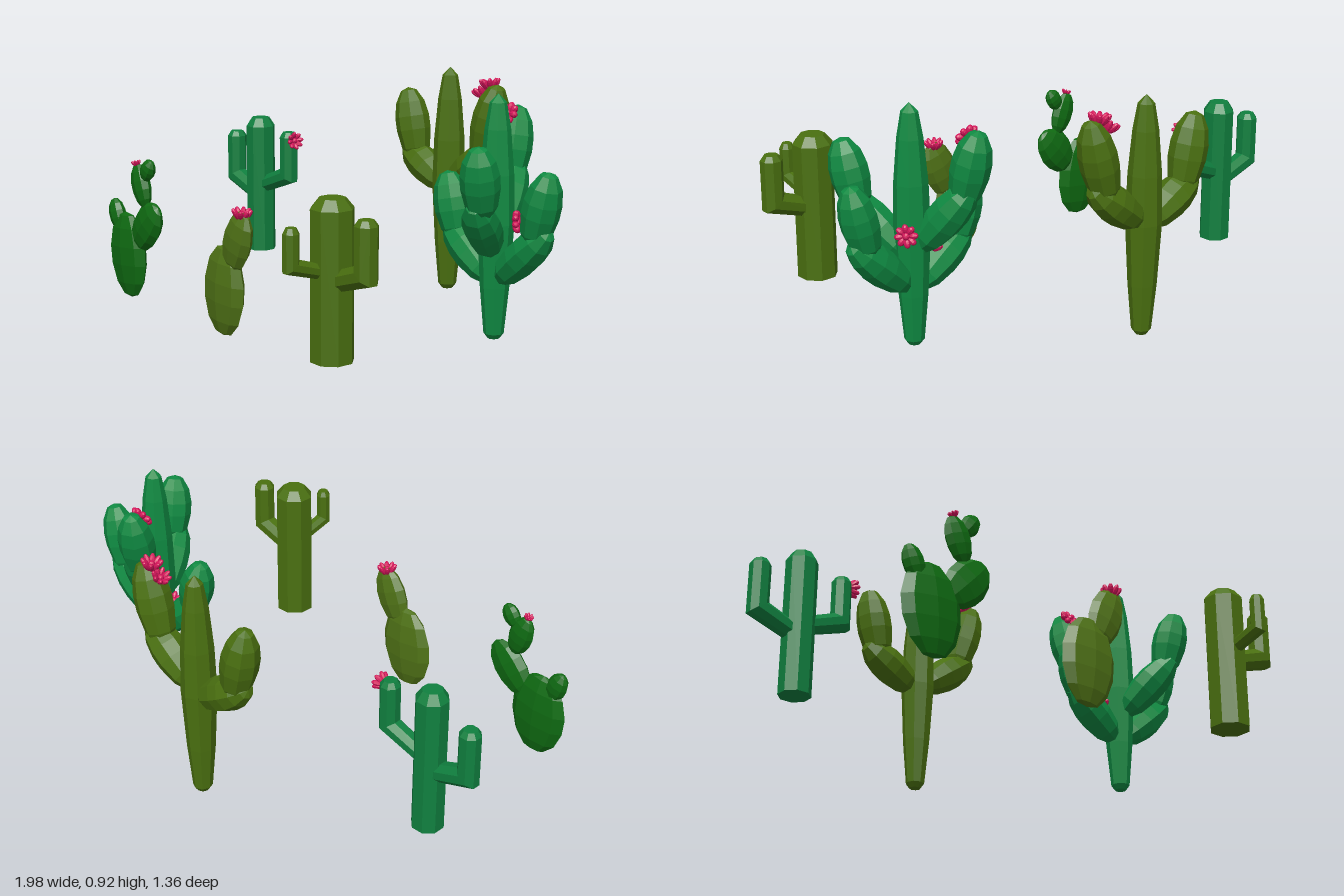
import * as THREE from 'three';

const V = (x, y, z) => new THREE.Vector3(x, y, z);
const UP = V(0, 1, 0);
const mat = (color, side = THREE.FrontSide) => new THREE.MeshStandardMaterial({ color, flatShading: true, side });
const GREEN = mat(0x0f8a42), JADE = mat(0x10803f), OLIVE = mat(0x4a7010), MOSS = mat(0x4f7216);
const DARK = mat(0x0f6b12), PINK = mat(0xd3145a);

function add(group, name, geometry, material) {
  const mesh = new THREE.Mesh(geometry, material);
  mesh.name = name;
  group.add(mesh);
  return mesh;
}

function cactus(root, name) {
  const g = new THREE.Group();
  g.name = name;
  root.add(g);
  return g;
}

const lathe = (points, sides, phase = 0) =>
  new THREE.LatheGeometry(points.map(([r, y]) => new THREE.Vector2(r, y)), sides, phase);

// Faceted egg shape from -1 to 1 along y
const BLOB = [[0, -1], [0.42, -0.9], [0.8, -0.58], [0.98, -0.1], [0.98, 0.25], [0.82, 0.62], [0.45, 0.92], [0, 1]];
const PAD = [[0, -1], [0.4, -0.93], [0.76, -0.65], [0.97, -0.22], [0.99, 0.2], [0.8, 0.63], [0.42, 0.92], [0, 1]];

// Egg stretched from a to b; depth is the half thickness across z
function blob(group, name, a, b, r, material, depth = r, profile = BLOB) {
  const mesh = add(group, name, lathe(profile, 8), material);
  const d = b.clone().sub(a);
  mesh.position.copy(a).addScaledVector(d, 0.5);
  mesh.scale.set(r, d.length() / 2, depth);
  mesh.quaternion.setFromUnitVectors(UP, d.normalize());
  return mesh;
}

// Faceted tube along bent points, each with its own radius, closed at the end
function limb(group, name, pts, radii, plane, material, sides = 8) {
  const rings = pts.map((p, i) => {
    const t0 = pts[i].clone().sub(pts[Math.max(i - 1, 0)]).normalize();
    const t1 = pts[Math.min(i + 1, pts.length - 1)].clone().sub(p).normalize();
    const t = t0.clone().add(t1).normalize();
    const miter = i > 0 && i < pts.length - 1 ? 1 / t.dot(t1) : 1;
    const u = plane.clone().cross(t);
    return Array.from({ length: sides + 1 }, (_, j) => {
      const q = (j + 0.5) / sides * Math.PI * 2;
      return p.clone().addScaledVector(u, radii[i] * miter * Math.cos(q)).addScaledVector(plane, radii[i] * Math.sin(q));
    });
  });
  const tris = [];
  for (let j = 0; j < sides; j++) {
    for (let i = 0; i < rings.length - 1; i++) {
      const a = rings[i][j], b = rings[i][j + 1], c = rings[i + 1][j + 1], d = rings[i + 1][j];
      tris.push(a, b, c, a, c, d);
    }
    const end = rings[rings.length - 1];
    tris.push(pts[pts.length - 1], end[j], end[j + 1]);
  }
  const geometry = new THREE.BufferGeometry().setFromPoints(tris);
  geometry.computeVertexNormals();
  add(group, name, geometry, material);
}

// Ring of eight petals around a small centre; cup raises the petals
function flower(group, pos, normal, r, cup = 0.3) {
  const f = new THREE.Group();
  f.name = 'flower';
  f.position.copy(pos);
  f.quaternion.setFromUnitVectors(UP, normal.normalize());
  group.add(f);
  for (let i = 0; i < 8; i++) {
    const q = i / 8 * Math.PI * 2;
    const tip = V(Math.cos(q) * r, cup * r, Math.sin(q) * r);
    blob(f, 'petal', V(Math.cos(q) * r * 0.1, -cup * r, Math.sin(q) * r * 0.1), tip, r * 0.3, PINK);
  }
  blob(f, 'flowerCentre', V(0, -r * 0.35, 0), V(0, r * 0.4, 0), r * 0.35, PINK);
}

// Column cactus trunk with eight flat sides and a bevelled top
function column(group, x, z, r, top, material) {
  const trunk = add(group, 'trunk', lathe([[0, 0.08], [r, 0.08], [r, top - 0.035], [r * 0.62, top], [0, top]], 8, Math.PI / 8), material);
  trunk.position.set(x, 0, z);
}

// Bent arm of a column cactus: out along dir, then straight up
function bentArm(group, x, z, dir, reach, y0, y1, top, r, material) {
  const at = (d, y) => V(x + dir.x * d, y, z + dir.z * d);
  const plane = dir.clone().cross(UP).normalize();
  limb(group, 'arm', [at(0, y0), at(reach, y1), at(reach, top - 0.02), at(reach, top)],
    [r * 0.9, r, r, r * 0.65], plane, material);
}

// Trunk of a large branching cactus
function bigTrunk(group, x, z, bottom, top, material) {
  const h = top - bottom;
  const profile = [[0, 0], [0.022, 0.004], [0.036, 0.025], [0.052, 0.22], [0.065, 0.48], [0.06, 0.68], [0.046, 0.86], [0.03, 0.965], [0, 1]];
  add(group, 'trunk', lathe(profile.map(([r, t]) => [r, bottom + t * h]), 8), material).position.set(x, 0, z);
}

// Two-part arm: a lower egg leaning out and an upper egg standing up
function bigArm(group, p, material, r = 0.068) {
  blob(group, 'lowerArm', V(...p[0]), V(...p[1]), r * 0.97, material);
  blob(group, 'upperArm', V(...p[2]), V(...p[3]), r, material);
}

export function createModel() {
  const root = new THREE.Group();
  root.name = 'cactusSet';

  // Slim column cactus with two arms
  const slim = cactus(root, 'slimColumnCactus');
  column(slim, -0.79, -0.255, 0.06, 0.64, JADE);
  bentArm(slim, -0.79, -0.255, V(-1, 0, 0), 0.17, 0.31, 0.37, 0.56, 0.04, JADE);
  bentArm(slim, -0.79, -0.255, V(1, 0, -0.06), 0.18, 0.35, 0.42, 0.6, 0.038, JADE);
  flower(slim, V(-0.567, 0.57, -0.262), V(1, 0.15, 0.1), 0.034, 0.5);

  // Thick column cactus with arms to the side and front
  const thick = cactus(root, 'thickColumnCactus');
  column(thick, 0.62, 0.48, 0.076, 0.637, OLIVE);
  bentArm(thick, 0.62, 0.48, V(1, 0, 0.02), 0.18, 0.35, 0.41, 0.595, 0.042, OLIVE);
  bentArm(thick, 0.62, 0.48, V(0, 0, 1), 0.17, 0.38, 0.43, 0.56, 0.029, OLIVE);

  // Tall cactus with two arms
  const tall = cactus(root, 'tallBranchingCactus');
  bigTrunk(tall, -0.012, -0.61, 0.01, 0.905, OLIVE);
  bigArm(tall, [[-0.02, 0.42, -0.61], [-0.27, 0.56, -0.61], [-0.195, 0.49, -0.61], [-0.262, 0.795, -0.61]], OLIVE, 0.07);
  bigArm(tall, [[0.0, 0.44, -0.61], [0.245, 0.62, -0.61], [0.165, 0.54, -0.61], [0.255, 0.865, -0.61]], OLIVE, 0.07);
  flower(tall, V(0.213, 0.86, -0.61), V(-0.15, 1, 0), 0.038, 0.6);
  flower(tall, V(0.168, 0.825, -0.61), V(-0.6, 1, 0), 0.034, 0.6);

  // Full cactus with four arms
  const full = cactus(root, 'fourArmCactus');
  bigTrunk(full, 0.69, -0.195, 0.045, 0.925, GREEN);
  bigArm(full, [[0.68, 0.25, -0.195], [0.44, 0.43, -0.195], [0.5, 0.36, -0.195], [0.435, 0.615, -0.195]], GREEN);
  bigArm(full, [[0.7, 0.26, -0.195], [0.95, 0.48, -0.195], [0.87, 0.4, -0.195], [0.945, 0.687, -0.195]], GREEN);
  bigArm(full, [[0.69, 0.36, -0.18], [0.805, 0.58, 0.02], [0.79, 0.51, -0.035], [0.82, 0.78, 0.02]], GREEN, 0.07);
  bigArm(full, [[0.68, 0.4, -0.21], [0.585, 0.66, -0.4], [0.595, 0.56, -0.345], [0.57, 0.85, -0.41]], GREEN, 0.07);
  flower(full, V(0.575, 0.822, -0.355), V(0, 0.55, 0.83), 0.045, 0.12);
  flower(full, V(0.748, 0.475, -0.238), V(0.8, 0.1, -0.6), 0.042, 0.12);
  flower(full, V(0.6, 0.388, -0.2), V(-0.5, 0.85, 0), 0.036, 0.4);

  // Flat pad cacti: [bottom x, y, top x, y, half width, half thickness]
  const pads = (group, z, list, material) => list.forEach(([x0, y0, x1, y1, w, d]) =>
    blob(group, 'pad', V(x0, y0, z), V(x1, y1, z), w, material, d, PAD));

  const bushy = cactus(root, 'bushyPadCactus');
  pads(bushy, 0.445, [
    [-0.7, 0.005, -0.73, 0.345, 0.122, 0.04],
    [-0.655, 0.225, -0.495, 0.4, 0.078, 0.036],
    [-0.765, 0.26, -0.815, 0.385, 0.042, 0.03],
    [-0.58, 0.385, -0.64, 0.55, 0.052, 0.03],
    [-0.59, 0.495, -0.535, 0.575, 0.036, 0.026],
  ], DARK);
  flower(bushy, V(-0.635, 0.552, 0.45), V(-0.4, 1, 0), 0.018, 0.6);

  const small = cactus(root, 'smallPadCactus');
  pads(small, 0.453, [
    [-0.055, 0.003, -0.035, 0.345, 0.12, 0.042],
    [-0.005, 0.255, 0.085, 0.485, 0.074, 0.037],
  ], MOSS);
  flower(small, V(0.07, 0.475, 0.453), V(0.1, 1, 0), 0.036, 0.6);

  return root;
}
